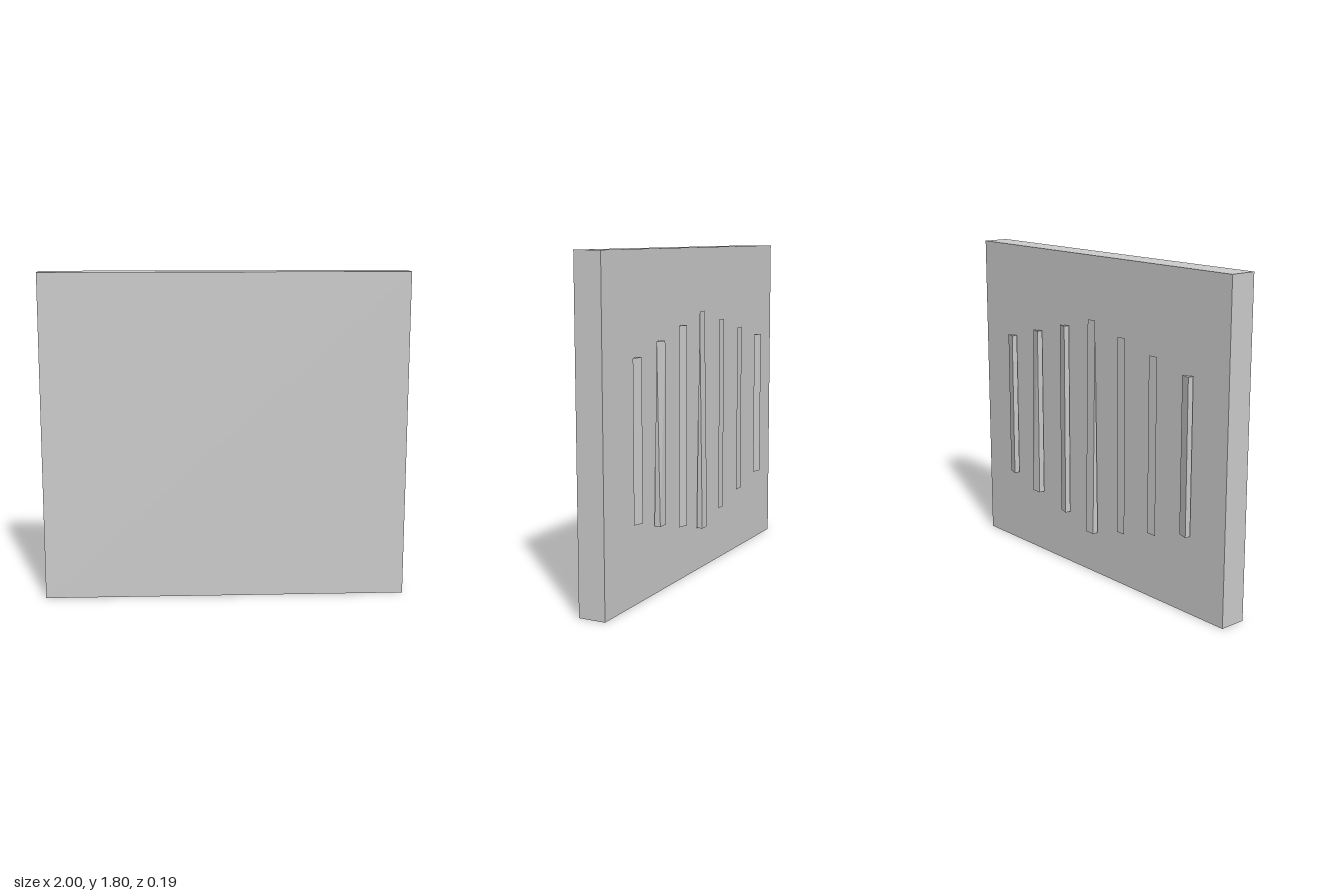
import * as THREE from 'three';

const material = new THREE.MeshStandardMaterial({ color: 0xcccccc, flatShading: true });

// A slim bar whose thickness at each upright edge end is either full (1) or pinched flat (0).
// pinch = [bottom -x, bottom +x, top -x, top +x]
function makeBar(bottom, top, pinch) {
  const geometry = new THREE.BoxGeometry(0.06, top - bottom, 0.034);
  const pos = geometry.attributes.position;
  for (let i = 0; i < pos.count; i++) {
    const corner = (pos.getY(i) > 0 ? 2 : 0) + (pos.getX(i) > 0 ? 1 : 0);
    pos.setZ(i, pos.getZ(i) * pinch[corner]);
  }
  geometry.computeVertexNormals();
  return new THREE.Mesh(geometry, material);
}

export function createModel() {
  const model = new THREE.Group();

  // Thick upright slab
  const panel = new THREE.Mesh(new THREE.BoxGeometry(2, 1.8, 0.15), material);
  panel.name = 'panel';
  panel.position.set(0, 0.9, 0.021);
  model.add(panel);

  // Row of seven bars floating just behind the slab, longest in the middle
  const wedge = [1, 0, 1, 0];
  const flat = [0, 0, 0, 0];
  const pinches = [wedge, flat, flat, [1, 1, 0, 0], wedge, [1, 1, 1, 0], wedge];
  const bars = new THREE.Group();
  bars.name = 'backBars';
  pinches.forEach((pinch, i) => {
    const step = Math.abs(i - 3) * 0.0615;
    const bottom = 0.248 + step;
    const top = 1.457 - step;
    const bar = makeBar(bottom, top, pinch);
    bar.name = `bar${i + 1}`;
    bar.position.set(-0.005 + (i - 3) * 0.243, (bottom + top) / 2, -0.079);
    bars.add(bar);
  });
  model.add(bars);

  return model;
}
